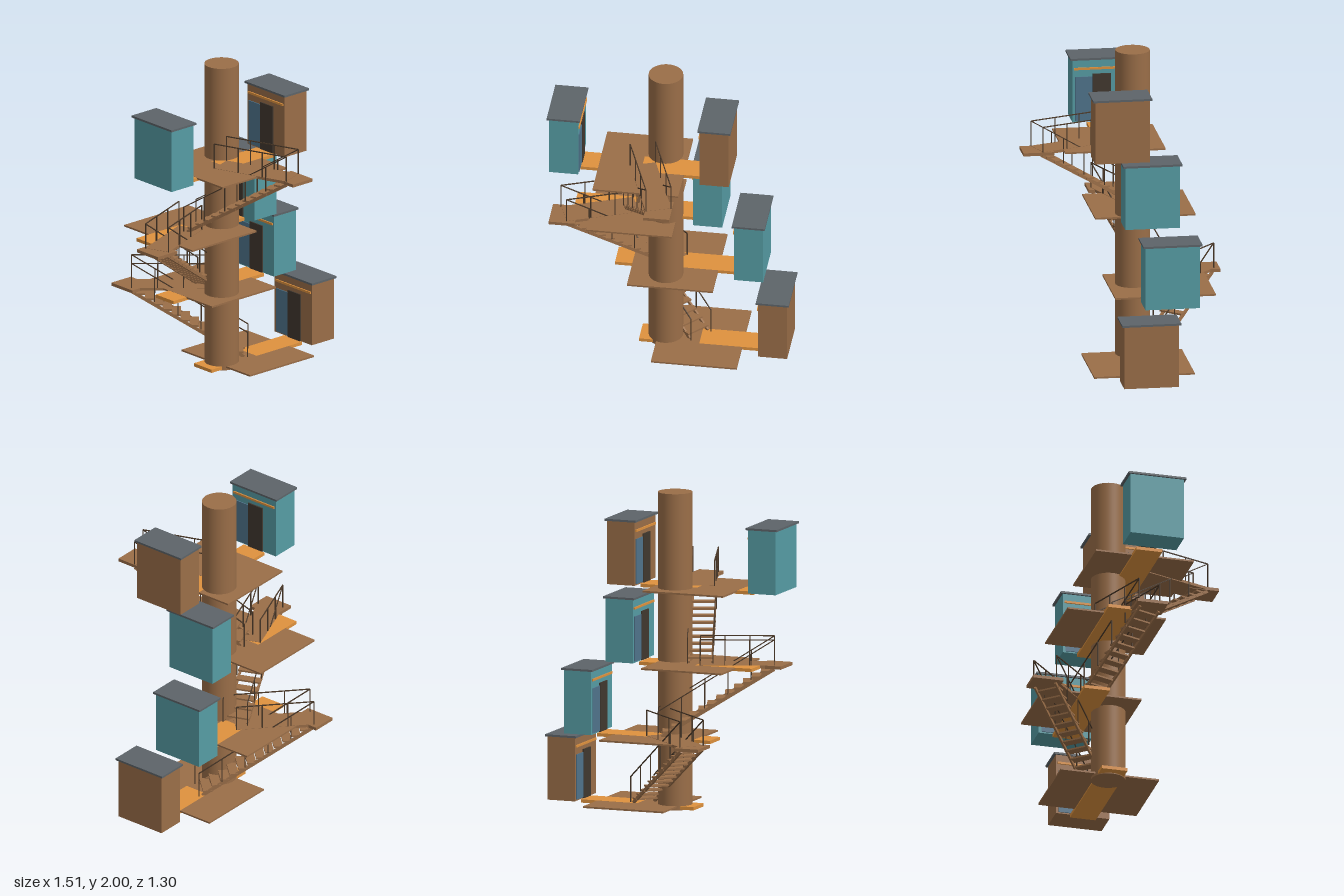
import * as THREE from 'three';

const mat = (name, color) => {
  const m = new THREE.MeshStandardMaterial({ color });
  m.name = name;
  return m;
};

export function createModel() {
  const wood = mat('brown wood', 0x9a6e48);
  const plankWood = mat('orange wood', 0xdf923e);
  const teal = mat('teal paint', 0x569ca4);
  const slate = mat('slate roof', 0x5d6469);
  const railWood = mat('dark rail', 0x4a3828);
  const doorDark = mat('dark door', 0x41382f);
  const glass = mat('blue window', 0x50748c);

  const model = new THREE.Group();
  model.name = 'treeTower';

  const box = (parent, name, material, w, h, d, x, y, z) => {
    const mesh = new THREE.Mesh(new THREE.BoxGeometry(w, h, d), material);
    mesh.name = name;
    mesh.position.set(x, y, z);
    parent.add(mesh);
    return mesh;
  };

  // Square bar running between two points in the local yz plane
  const bar = (parent, name, material, x, y1, z1, y2, z2, w, h) => {
    const mesh = box(parent, name, material, w, h, Math.hypot(y2 - y1, z2 - z1),
      x, (y1 + y2) / 2, (z1 + z2) / 2);
    mesh.rotation.x = -Math.atan2(y2 - y1, z2 - z1);
  };

  // Trunk
  const trunk = new THREE.Mesh(new THREE.CylinderGeometry(0.108, 0.108, 2, 48), wood);
  trunk.name = 'trunk';
  trunk.position.set(-0.045, 1, -0.061);
  model.add(trunk);

  const RISE = 0.455, RUN = 0.725, RAIL = 0.162, HALF = 0.08;

  // Cabin, its door side facing local +x
  function addCabin(x, y, z, wall, turned) {
    const cabin = new THREE.Group();
    cabin.name = 'cabin';
    cabin.position.set(x, y, z);
    if (turned) cabin.rotation.y = Math.PI;
    box(cabin, 'cabinWalls', wall, 0.185, 0.402, 0.345, 0, 0.202, 0);
    box(cabin, 'cabinRoof', slate, 0.208, 0.013, 0.372, 0, 0.4095, 0);
    box(cabin, 'window', glass, 0.006, 0.285, 0.11, 0.0955, 0.152, 0.1);
    box(cabin, 'door', doorDark, 0.009, 0.31, 0.115, 0.097, 0.157, -0.013);
    box(cabin, 'doorTrim', plankWood, 0.008, 0.014, 0.325, 0.0965, 0.347, 0);
    model.add(cabin);
  }

  // Landing, railed walkway to the platform centre, and the stair below it
  function addStair(x, y, z, platformX, platformZ) {
    box(model, 'landing', wood, 0.164, 0.02, 0.195, x, y - 0.01, z);
    const dx = x - platformX, dz = z - platformZ;
    const walk = Math.hypot(dx, dz);
    const stair = new THREE.Group();
    stair.name = 'stair';
    stair.position.set(x, y, z);
    stair.rotation.y = Math.atan2(dx, dz);
    box(stair, 'walkway', wood, 0.165, 0.018, walk, 0, -0.0075, -walk / 2);
    const steps = 13;
    for (let i = 1; i < steps; i++) {
      const t = i / steps;
      box(stair, 'tread', wood, 0.16, 0.011, 0.058, 0, -RISE * t - 0.006, -RUN * t);
    }
    for (const s of [-HALF, HALF]) {
      bar(stair, 'stringer', wood, s * 0.9, -0.025, 0, -RISE, -RUN * 0.97, 0.012, 0.02);
      // Sloping handrail
      bar(stair, 'handrail', railWood, s, RAIL, 0, RAIL - RISE, -RUN, 0.006, 0.006);
      for (let i = 0; i <= 5; i++) {
        const t = i / 5;
        box(stair, 'handrailPost', railWood, 0.006, RAIL, 0.006,
          s, RAIL / 2 - RISE * t, -RUN * t);
      }
      // Level guard rail along the walkway
      bar(stair, 'guardRail', railWood, s, RAIL, 0, RAIL, -walk, 0.006, 0.006);
      for (let i = 1; i <= 3; i++) {
        box(stair, 'guardPost', railWood, 0.006, RAIL, 0.006, s, RAIL / 2, -walk * i / 3);
      }
    }
    model.add(stair);
  }

  // Each level: platform centre, slight plank tilt, cabin walls, landing centre
  const levels = [
    { x: 0.177, z: -0.062, tilt: 0.003, right: wood },
    { x: 0.002, z: -0.222, tilt: 0.003, right: teal, landing: [-0.357, -0.553] },
    { x: -0.243, z: -0.132, tilt: -0.003, right: teal, landing: [-0.675, 0.035] },
    { x: -0.172, z: 0.0685, tilt: 0.003, right: wood, left: teal, landing: [-0.002, 0.548] },
  ];
  levels.forEach(({ x, z, tilt, right, left, landing }, i) => {
    const top = 0.027 + RISE * i;
    box(model, 'platform', wood, 0.541, 0.011, 0.634, x, top - 0.0055, z);
    const plank = box(model, 'plank', plankWood, 0.76, 0.021, 0.165, x, top - 0.0105, z);
    plank.rotation.z = tilt;
    addCabin(x + 0.475, top, z, right, true);
    if (left) addCabin(x - 0.475, top, z, left, false);
    if (landing) addStair(landing[0], top, landing[1], x, z);
  });

  return model;
}
